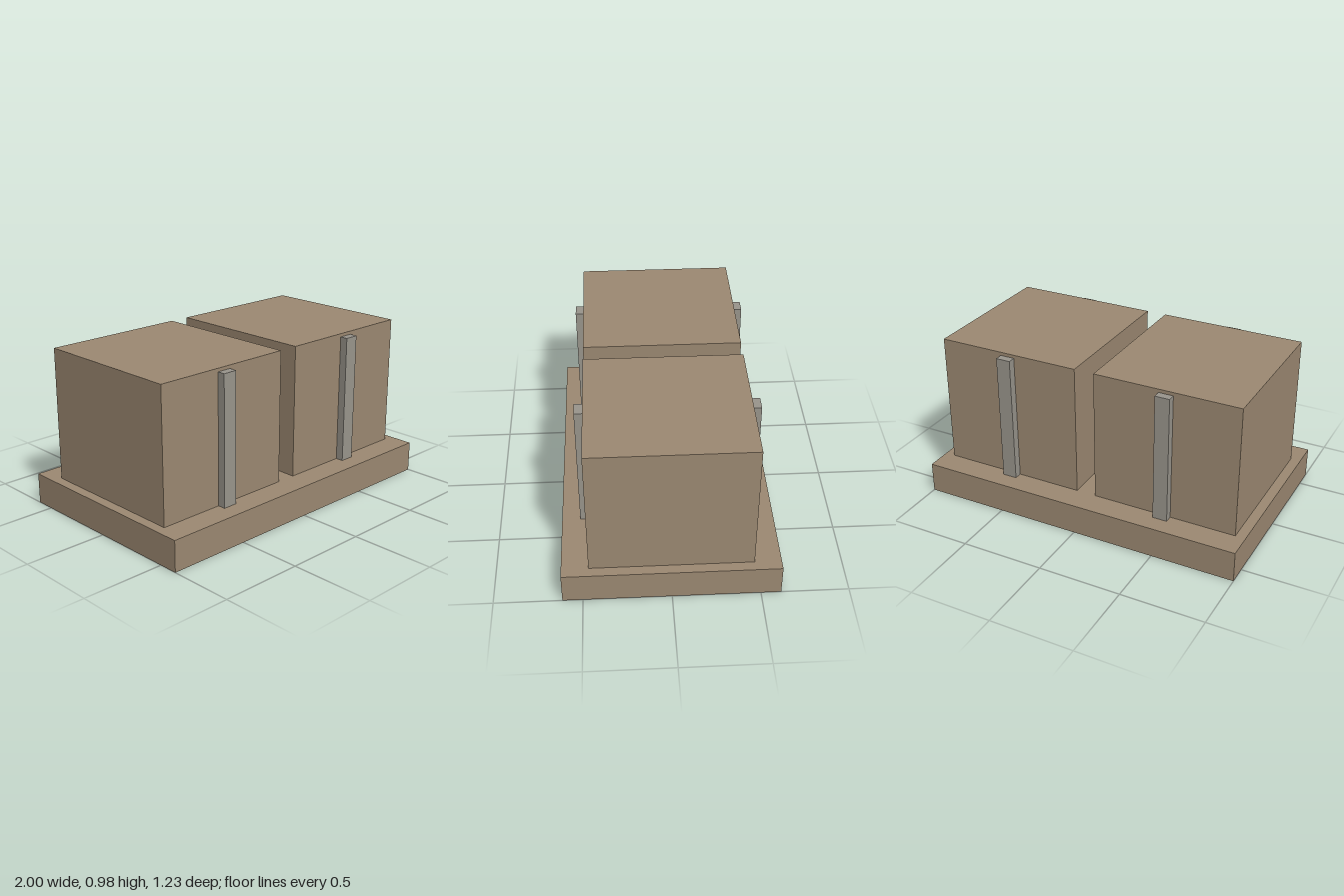
import * as THREE from 'three';

export function createModel() {
  const model = new THREE.Group();
  const wood = new THREE.MeshStandardMaterial({ color: 0x9c8972 });
  wood.name = 'tan wood';
  const strap = new THREE.MeshStandardMaterial({ color: 0x99958c });
  strap.name = 'grey strap';

  // Box given by its size, its centre in x and z, and the height of its bottom
  function addBox(name, material, [w, h, d], x, bottom, z) {
    const mesh = new THREE.Mesh(new THREE.BoxGeometry(w, h, d), material);
    mesh.name = name;
    mesh.position.set(x, bottom + h / 2, z);
    model.add(mesh);
  }

  const baseHeight = 0.185;
  addBox('base', wood, [2, baseHeight, 1.23], 0, 0, 0);

  // Two crates, each with an upright strap on the front and back
  for (const [side, sx] of [['left', 1], ['right', -1]]) {
    const x = sx * 0.5;
    addBox(`${side}Crate`, wood, [0.88, 0.795, 0.925], x, baseHeight, 0);
    for (const [face, sz] of [['Front', 1], ['Back', -1]]) {
      addBox(`${side}${face}Strap`, strap, [0.088, 0.775, 0.047], x, baseHeight, sz * 0.486);
    }
  }
  return model;
}
